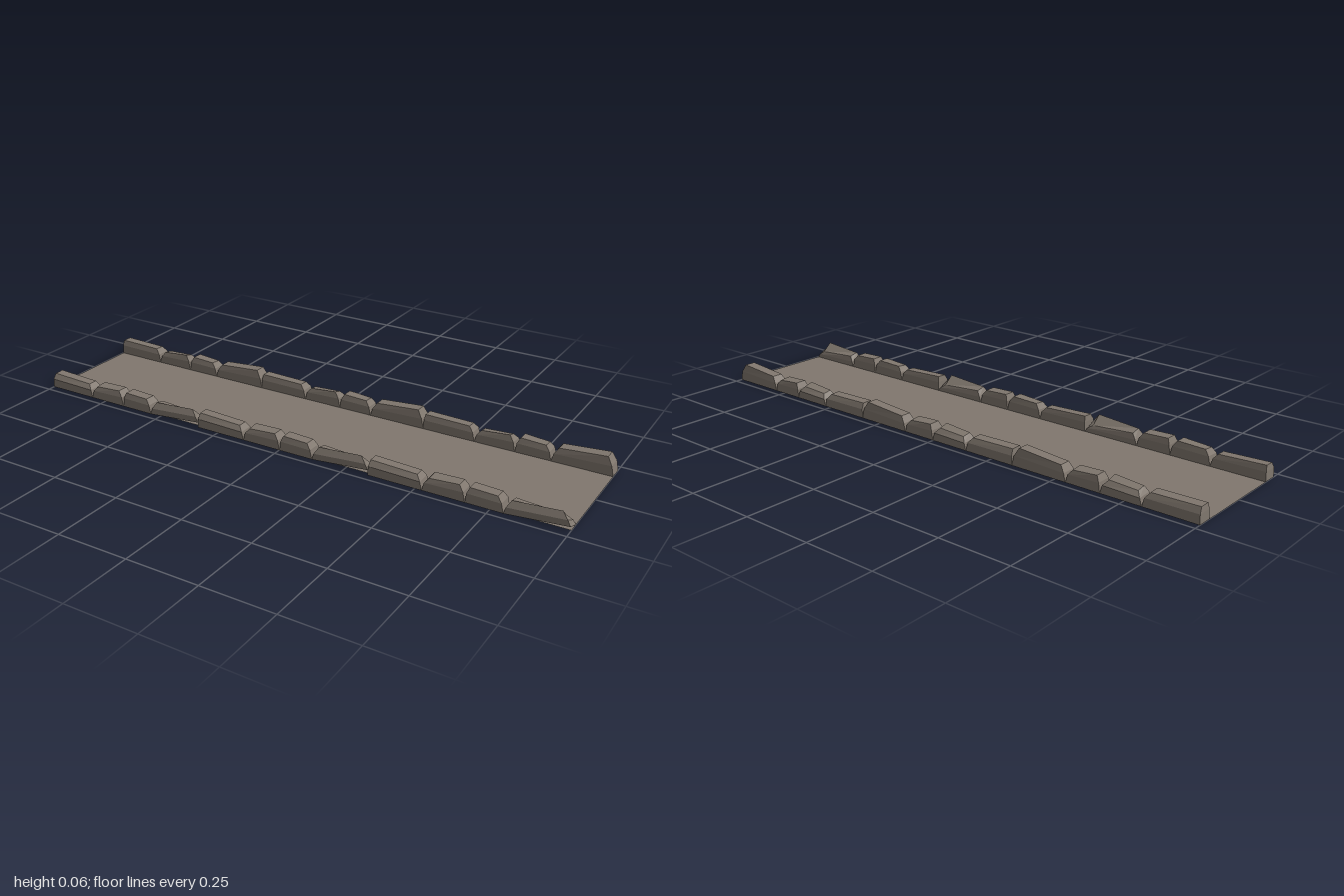
import * as THREE from 'three';

// Corners run counter-clockwise from above: left/+z, right/+z, right/-z, left/-z.
// Three rings (base, shoulder, chamfered top) joined into a faceted block.
function stoneGeometry(width, { tops, inL = 0.022, inR = 0.022, inFront = 0.006, inBack = 0.006, base = [0, 0, 0, 0], shoulder = 0.62 }) {
  const D = 0.026;
  const ring = (k, heights) => heights.map((y, i) => {
    const right = i === 1 || i === 2;
    const front = i < 2;
    return [
      right ? width - inR * k : inL * k,
      y,
      front ? D - inFront * Math.max(0, k * 1.5 - 0.5) : -D + inBack * Math.max(0, k * 1.5 - 0.5),
    ];
  });
  const rings = [
    ring(0, base),
    ring(0.33, tops.map((t, i) => base[i] + (t - base[i]) * shoulder)),
    ring(1, tops),
  ];
  const pos = [];
  const quad = (a, b, c, d) => pos.push(...a, ...b, ...c, ...a, ...c, ...d);
  for (let r = 0; r < 2; r++) {
    for (let i = 0; i < 4; i++) {
      const j = (i + 1) % 4;
      quad(rings[r][i], rings[r][j], rings[r + 1][j], rings[r + 1][i]);
    }
  }
  quad(...rings[2]);
  quad(...[...rings[0]].reverse());
  const g = new THREE.BufferGeometry();
  g.setAttribute('position', new THREE.Float32BufferAttribute(pos, 3));
  g.computeVertexNormals();
  return g;
}

export function createModel() {
  const group = new THREE.Group();
  const stone = new THREE.MeshStandardMaterial({ color: 0x80776e, flatShading: true, side: THREE.DoubleSide });
  stone.name = 'warm grey stone';

  // Flat paving
  const paving = new THREE.Mesh(new THREE.PlaneGeometry(2, 0.42).rotateX(-Math.PI / 2), stone);
  paving.name = 'paving';
  group.add(paving);

  // Four kerb stones make one section; the section repeats three times
  const edges = [0, 0.19, 0.335, 0.46, 2 / 3];
  const frontStones = [
    { tops: [0.051, 0.045, 0.045, 0.052], inL: 0.004, inFront: 0.012 },
    { tops: [0.046, 0.053, 0.053, 0.05] },
    { tops: [0.053, 0.05, 0.049, 0.053], inL: 0.012 },
    { tops: [0.045, 0.057, 0.027, 0.038], inL: 0.02, inR: 0.03, inFront: 0.012, base: [0, 0.018, 0, 0], shoulder: 0.5 },
  ];
  const backStones = [
    { tops: [0.053, 0.05, 0.048, 0.052], inL: 0.004, inBack: 0.01 },
    { tops: [0.045, 0.054, 0.045, 0.04], inBack: 0.014 },
    { tops: [0.053, 0.049, 0.045, 0.052], inL: 0.015 },
    { tops: [0.05, 0.063, 0.063, 0.05], inR: 0.024, shoulder: 0.56 },
  ];

  for (const [name, specs, z] of [['frontKerb', frontStones, 0.197], ['backKerb', backStones, -0.198]]) {
    const kerb = new THREE.Group();
    kerb.name = name;
    specs.forEach((spec, i) => {
      const geometry = stoneGeometry(edges[i + 1] - edges[i], spec);
      for (let section = 0; section < 3; section++) {
        const mesh = new THREE.Mesh(geometry, stone);
        mesh.name = 'kerbStone';
        mesh.position.set(-1 + section * 2 / 3 + edges[i], 0, z);
        kerb.add(mesh);
      }
    });
    group.add(kerb);
  }
  return group;
}
